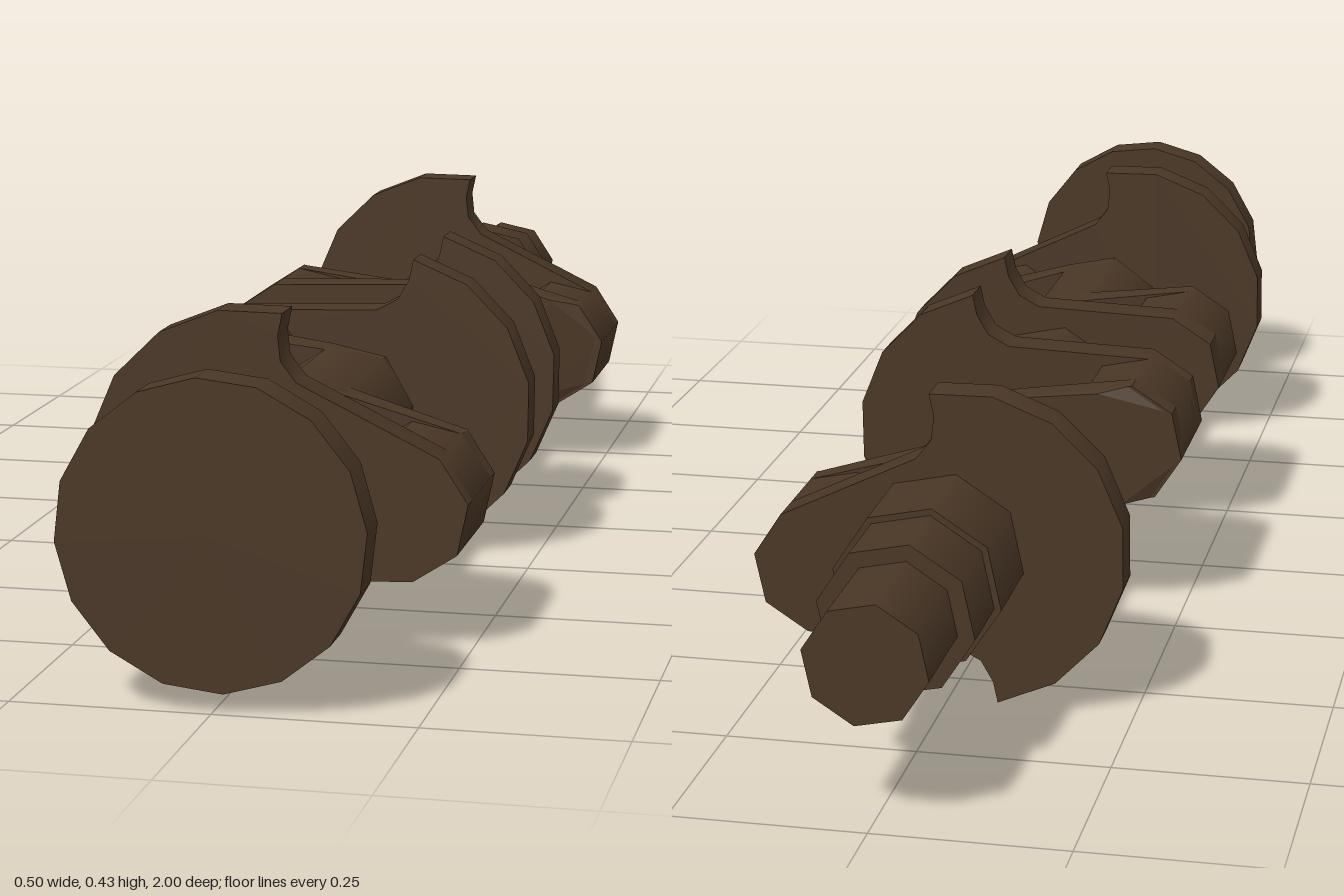
import * as THREE from 'three';
import { toCreasedNormals } from 'three/addons/utils/BufferGeometryUtils.js';
import { ConvexGeometry } from 'three/addons/geometries/ConvexGeometry.js';

const MAIN_R = 0.1, PIN_R = 0.088, THROW = 0.168;

export function createModel() {
  const steel = new THREE.MeshStandardMaterial({ color: 0x4a3726 });
  steel.name = 'dark bronze steel';
  const model = new THREE.Group();
  model.name = 'crankshaft';
  const shaft = new THREE.Group();
  shaft.name = 'shaft';
  shaft.position.y = 0.214;
  shaft.rotation.z = THREE.MathUtils.degToRad(-12);
  model.add(shaft);

  const add = (parent, name, geometry) => {
    const mesh = new THREE.Mesh(geometry, steel);
    mesh.name = name;
    parent.add(mesh);
    return mesh;
  };

  // Round section lying along z
  const round = (parent, name, r, z0, z1, x = 0, sides = 8, phase = Math.PI / 8) => {
    const g = new THREE.CylinderGeometry(r, r, Math.abs(z1 - z0), sides);
    g.rotateX(Math.PI / 2).rotateZ(phase).translate(x, 0, (z0 + z1) / 2);
    return add(parent, name, g);
  };

  const ring = (r, x) => Array.from({ length: 8 }, (_, i) => {
    const a = (i + 0.5) * Math.PI / 4;
    return new THREE.Vector2(x + r * Math.cos(a), r * Math.sin(a));
  });

  // Counterweight web: fan on one side, notched neck, rounded pin end
  const counterweight = (parent, zMid) => {
    const points = [];
    for (let i = 0; i <= 8; i++) {
      const a = Math.PI / 2 + i * Math.PI / 8;
      points.push([-0.03 + 0.212 * Math.cos(a), 0.212 * Math.sin(a)]);
    }
    const neck = [[-0.03, 0.183], [-0.02, 0.152], [0.006, 0.13]];
    neck.forEach(([x, y]) => points.push([x, -y]));
    for (const d of [-67.5, -22.5, 22.5, 67.5]) {
      const a = THREE.MathUtils.degToRad(d);
      points.push([THROW + PIN_R * Math.cos(a), PIN_R * Math.sin(a)]);
    }
    neck.reverse().forEach(([x, y]) => points.push([x, y]));
    const shape = new THREE.Shape(points.map(([x, y]) => new THREE.Vector2(x, y)));
    const g = new THREE.ExtrudeGeometry(shape, { depth: 0.053, bevelEnabled: false });
    g.translate(0, 0, zMid - 0.0265);
    add(parent, 'counterweightWeb', toCreasedNormals(g, 0.6));
  };

  // Slim web joining journal and pin, chamfered at opposite ends of its two faces
  const slimWeb = (parent, zJournal, zPin) => {
    const step = Math.sign(zPin - zJournal) * 0.016;
    const points = [];
    const put = (p, z, x = p.x) => points.push(new THREE.Vector3(x, p.y, z));
    for (const p of ring(MAIN_R, 0)) {
      put(p, zJournal);
      put(p, zPin - step);
      put(p, zPin, Math.max(p.x, -0.04));
    }
    for (const p of ring(PIN_R, THROW)) {
      put(p, zPin);
      put(p, zJournal + step);
      put(p, zJournal, Math.min(p.x, 0.155));
    }
    add(parent, 'slimWeb', new ConvexGeometry(points));
  };

  // Mounting flange, main journals and stepped nose
  round(shaft, 'flange', 0.19, 0.945, 1, 0, 16, Math.PI * 16.5 / 180);
  round(shaft, 'frontJournal', MAIN_R, 0.68, 0.95);
  round(shaft, 'secondJournal', MAIN_R, 0.3, 0.535);
  round(shaft, 'middleJournal', MAIN_R, -0.06, 0.155);
  round(shaft, 'fourthJournal', MAIN_R, -0.44, -0.205);
  round(shaft, 'noseBase', 0.11, -0.74, -0.58);
  round(shaft, 'noseMiddle', 0.101, -0.85, -0.74);
  round(shaft, 'noseTip', 0.079, -1, -0.85);

  // Four throws: counterweight centre, slim web journal face and pin face, half turn
  const throws = [
    [0.674, 0.503, 0.55, 0],
    [0.156, 0.332, 0.284, Math.PI],
    [-0.06, -0.234, -0.186, Math.PI],
    [-0.577, -0.408, -0.455, 0],
  ];
  for (const [weightZ, journalZ, pinZ, turn] of throws) {
    const unit = new THREE.Group();
    unit.name = 'crankThrow';
    unit.rotation.z = turn;
    shaft.add(unit);
    counterweight(unit, weightZ);
    slimWeb(unit, journalZ, pinZ);
    round(unit, 'crankPin', PIN_R, weightZ, journalZ + Math.sign(pinZ - journalZ) * 0.014, THROW);
  }
  return model;
}
